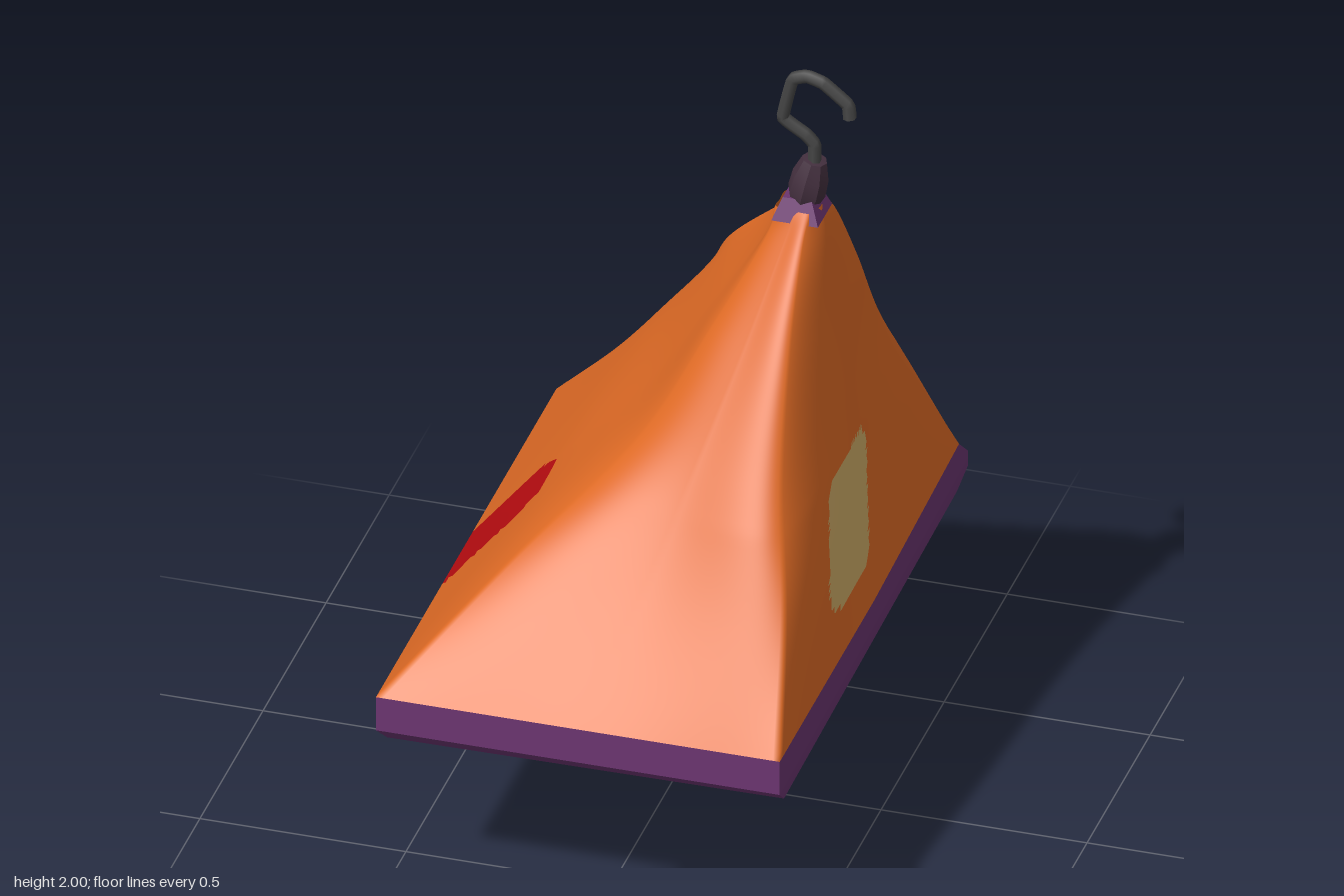
import * as THREE from 'three';
import { toCreasedNormals } from 'three/addons/utils/BufferGeometryUtils.js';

const mat = (name, color, side = THREE.FrontSide) => {
  const m = new THREE.MeshStandardMaterial({ color, side });
  m.name = name;
  return m;
};
const V = (x, y, z) => new THREE.Vector3(x, y, z);

// Columns of the canvas, each as [x, z] at the heights below
const heights = [0.58, 0.85, 1.1, 1.35, 1.55, 1.63];
const columns = [
  [[-0.40, -0.68], [-0.20, -0.51], [-0.05, -0.385], [0.06, -0.22], [0.24, -0.11], [0.28, -0.04]], // door edge, -x
  [[-0.49, -0.66], [-0.28, -0.46], [-0.10, -0.32], [0.075, -0.15], [0.23, -0.07], [0.26, -0.02]],
  [[-0.49, 0.05], [-0.27, 0.04], [-0.05, 0.03], [0.11, 0.02], [0.235, 0.02], [0.26, 0.02]],
  [[-0.49, 0.77], [-0.24, 0.52], [0.0, 0.31], [0.14, 0.17], [0.24, 0.07], [0.26, 0.05]],
  [[0.0, 0.77], [0.10, 0.565], [0.17, 0.395], [0.24, 0.23], [0.29, 0.10], [0.31, 0.06]],
  [[0.49, 0.77], [0.44, 0.57], [0.38, 0.40], [0.35, 0.24], [0.34, 0.11], [0.345, 0.06]],
  [[0.49, 0.02], [0.455, 0.02], [0.425, 0.02], [0.395, 0.02], [0.375, 0.02], [0.36, 0.02]],
  [[0.475, -0.70], [0.43, -0.52], [0.39, -0.36], [0.375, -0.22], [0.36, -0.10], [0.35, -0.02]],
  [[0.45, -0.70], [0.40, -0.53], [0.355, -0.38], [0.35, -0.24], [0.34, -0.11], [0.33, -0.04]], // door edge, +x
].map((c) => new THREE.CatmullRomCurve3(c.map(([x, z], i) => V(x, heights[i], z)), false, 'catmullrom', 0.5));

// Canvas point: flat sides at the hem, softer folds higher up
function canvasPoint(u, v) {
  const pts = columns.map((c) => c.getPoint(v));
  const f = u * (pts.length - 1);
  const i = Math.min(Math.floor(f), pts.length - 2);
  const flat = pts[i].clone().lerp(pts[i + 1], f - i);
  const soft = new THREE.CatmullRomCurve3(pts, false, 'catmullrom', 0.5).getPoint(u);
  return flat.lerp(soft, Math.min(0.8, v * 2.5));
}

// Grid surface; pick(centre) gives the material index of a triangle
function grid(nu, nv, point, pick = () => 0, groups = 1) {
  const pos = [], lists = Array.from({ length: groups }, () => []);
  for (let j = 0; j <= nv; j++)
    for (let i = 0; i <= nu; i++) pos.push(...point(i / nu, j / nv).toArray());
  const at = (k) => V(pos[k * 3], pos[k * 3 + 1], pos[k * 3 + 2]);
  for (let j = 0; j < nv; j++)
    for (let i = 0; i < nu; i++) {
      const a = j * (nu + 1) + i, b = a + 1, c = b + nu + 1, d = c - 1;
      for (const t of [[a, b, c], [a, c, d]]) {
        const mid = at(t[0]).add(at(t[1])).add(at(t[2])).divideScalar(3);
        lists[pick(mid)].push(...t);
      }
    }
  const g = new THREE.BufferGeometry();
  g.setAttribute('position', new THREE.Float32BufferAttribute(pos, 3));
  g.setIndex(lists.flat());
  let start = 0;
  lists.forEach((l, k) => { g.addGroup(start, l.length, k); start += l.length; });
  g.computeVertexNormals();
  return g;
}

function inside(poly, a, b) {
  let hit = false;
  poly.forEach(([x1, y1], i) => {
    const [x2, y2] = poly[(i + 1) % poly.length];
    if ((y1 > b) !== (y2 > b) && a < ((x2 - x1) * (b - y1)) / (y2 - y1) + x1) hit = !hit;
  });
  return hit;
}

export function createModel() {
  const model = new THREE.Group();
  const D = THREE.DoubleSide;
  const orange = mat('orange canvas', 0xde6a25, D), purple = mat('purple fabric', 0x6b3570, D);
  const yellow = mat('yellow mattress', 0xb8942a), red = mat('red patch', 0xb80c10, D);
  const beige = mat('beige patch', 0xd0ad68, D), grey = mat('grey patch', 0xc4c0c4);
  const blue = mat('blue rope', 0x2552c4, D), steel = mat('dark steel', 0x454545, D);
  const dark = mat('dark ferrule', 0x44303f, D);
  const add = (name, geometry, material) => {
    const m = new THREE.Mesh(geometry, material);
    m.name = name;
    model.add(m);
    return m;
  };

  // Canvas with a patch on each long side, outlined in (z, y)
  const beigeShape = [[0.31, 0.76], [0.23, 0.95], [0.19, 0.99], [-0.05, 1.0], [-0.085, 0.96], [0.005, 0.71], [0.04, 0.685], [0.24, 0.68], [0.3, 0.72]];
  const redShape = [[0, 0.5], [0, 0.78], [0.05, 0.85], [0.2, 0.85], [0.25, 0.79], [0.25, 0.5]];
  const pick = (p) => (p.x > 0.4 && inside(beigeShape, p.z, p.y) ? 1 : p.x < -0.2 && inside(redShape, p.z, p.y) ? 2 : 0);
  add('canvas', grid(240, 80, canvasPoint, pick, 3), [orange, beige, red]);

  // Rolled-up door above the opening, and the canvas strip closing the peak
  const [edgeC, edgeD] = [columns[0], columns[8]];
  const doorPoint = (lowD, lowC, top) => (u, v) => {
    const low = lowD + (lowC - lowD) * u;
    const t = low + (top - low) * v;
    const p = edgeD.getPoint(t).lerp(edgeC.getPoint(t), u);
    p.z += 0.03 * Math.sin(Math.PI * u) * (1 - v);
    return p;
  };
  add('doorFlap', grid(12, 16, doorPoint(0.46, 0.385, 0.9), undefined, 1), purple);
  add('peakStrip', grid(4, 4, (u, v) => edgeD.getPoint(0.9 + 0.1 * v).lerp(edgeC.getPoint(0.9 + 0.1 * v), u)), orange);

  // Base tray from stacked outlines, lowest first
  const under = [[-0.475, 0.73], [0.485, 0.72], [0.47, -0.70], [-0.36, -0.70], [-0.47, -0.68]];
  const belly = [[-0.49, 0.77], [0.49, 0.77], [0.48, -0.755], [-0.36, -0.755], [-0.49, -0.72]];
  const hem = [[-0.49, 0.77], [0.49, 0.77], [0.475, -0.70], [-0.40, -0.69], [-0.49, -0.66]];
  const rings = [
    [under, 0.001, 0.432], [under, 0.42, 0.432], [under, 1, 0.45],
    [belly, 1, 0.49], [belly, 1, 0.53], [hem, 1, 0.58], [hem, 0.97, 0.57], [hem, 0.001, 0.57],
  ];
  const tray = grid(5, rings.length - 1, (u, v) => {
    const [shape, s, y] = rings[Math.round(v * (rings.length - 1))];
    const [x, z] = shape[Math.round(u * 5) % 5];
    return V(x * s, y, z * s);
  });
  add('baseTray', toCreasedNormals(tray, 0.6), purple);

  // Ribbed mattress
  const bed = new THREE.BoxGeometry(0.84, 0.03, 1.38, 84, 1, 1);
  const bp = bed.attributes.position;
  for (let i = 0; i < bp.count; i++)
    if (bp.getY(i) > 0) bp.setY(i, 0.007 + 0.012 * Math.abs(Math.sin((bp.getX(i) * Math.PI * 12) / 0.84)));
  bed.computeVertexNormals();
  add('mattress', bed, yellow).position.set(0.025, 0.572, -0.01);

  // Cross-shaped patch under the tray
  const cross = new THREE.Shape();
  for (let k = 0; k < 4; k++) {
    const c = Math.cos((k * Math.PI) / 2), s = Math.sin((k * Math.PI) / 2);
    for (const [x, y] of [[0.06, -0.06], [0.17, -0.075], [0.19, 0], [0.17, 0.075]]) {
      const p = [x * c - y * s, x * s + y * c];
      k || x > 0.06 ? cross.lineTo(...p) : cross.moveTo(...p);
    }
  }
  const crossGeo = new THREE.ExtrudeGeometry(cross, { depth: 0.005, bevelEnabled: false }).rotateX(Math.PI / 2);
  add('crossPatch', crossGeo, grey).position.y = 0.4335;

  // Peak cap and ferrule
  const cap = new THREE.CylinderGeometry(0.05, 0.08, 0.055, 4).rotateY(Math.PI / 4);
  add('peakCap', toCreasedNormals(cap, 0.5), purple).position.set(0.312, 1.63, 0.015);
  const profile = [[0, 0], [0.036, 0], [0.046, 0.03], [0.044, 0.075], [0.03, 0.12], [0, 0.125]];
  const ferrule = add('ferrule', toCreasedNormals(new THREE.LatheGeometry(profile.map((p) => new THREE.Vector2(...p)), 8), 0.5), dark);
  ferrule.position.set(0.318, 1.635, 0.015);
  ferrule.rotation.z = -0.22;

  // Bent rods: hook and rope
  const rod = (points, radius, sides, steps) =>
    new THREE.TubeGeometry(new THREE.CatmullRomCurve3(points.map((p) => V(...p)), false, 'catmullrom', 0.12), steps, radius, sides);
  add('hook', rod([
    [0.345, 1.73, 0.02], [0.345, 1.795, 0.02], [0.325, 1.82, 0.022], [0.27, 1.86, 0.025], [0.295, 1.97, 0.03],
    [0.33, 1.984, 0.03], [0.37, 1.972, 0.03], [0.43, 1.925, 0.032], [0.435, 1.89, 0.034],
  ], 0.016, 6, 60), steel);
  add('rope', rod([
    [0.03, 0.0, -0.64], [0.035, 0.12, -0.65], [0.04, 0.44, -0.75], [0.035, 0.535, -0.765], [0.0, 0.59, -0.7],
    [-0.05, 0.605, -0.56], [-0.055, 0.605, -0.45], [0.0, 0.605, -0.34], [0.11, 0.605, -0.23], [0.15, 0.605, -0.385],
    [0.24, 0.605, -0.34], [0.27, 0.605, -0.25], [0.16, 0.605, -0.23], [0.08, 0.61, -0.32],
    [0.21, 0.615, -0.34], [0.25, 0.61, -0.375], [0.3, 0.605, -0.36],
  ], 0.011, 6, 160), blue);

  return model;
}
